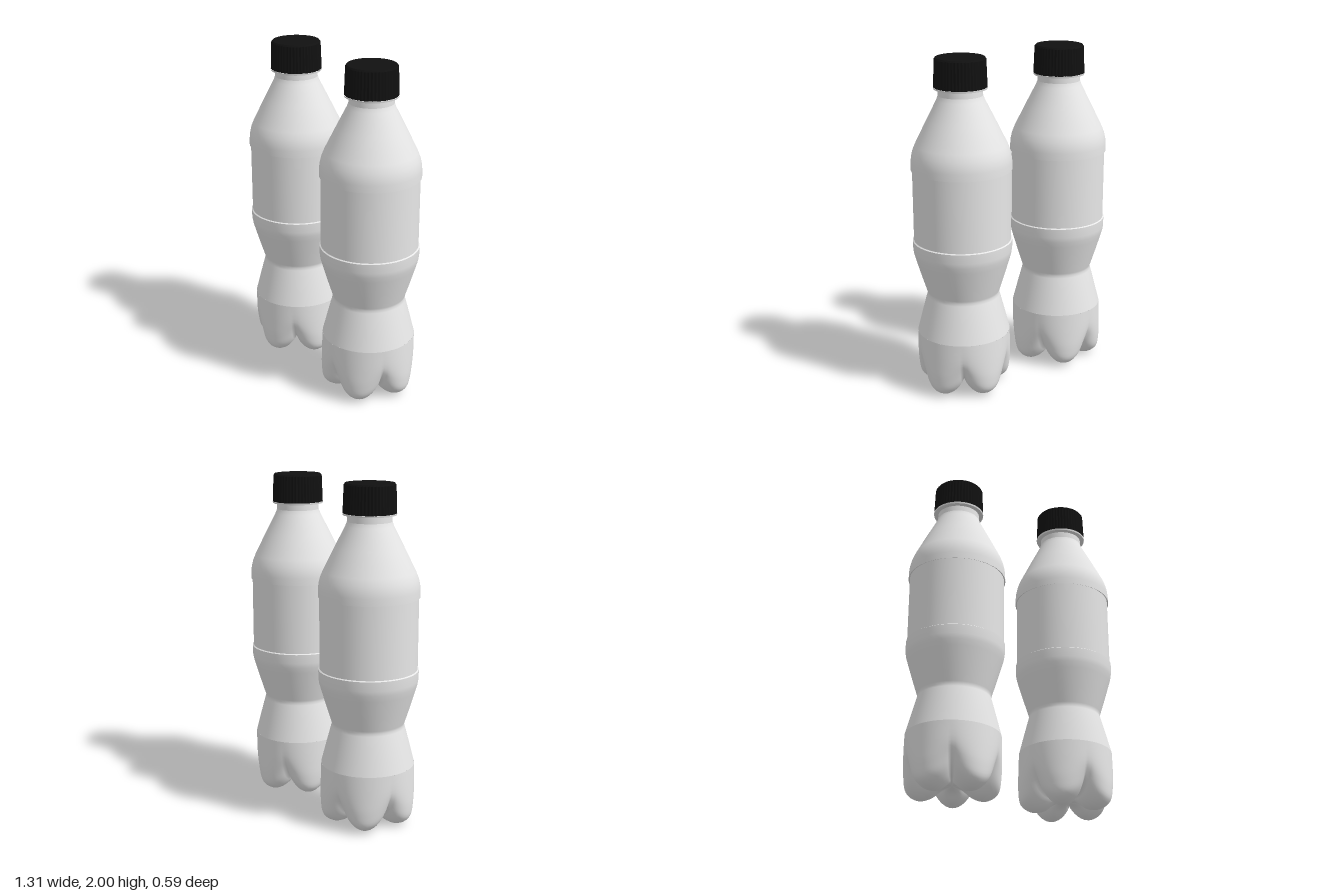
import * as THREE from 'three';

const SIDES = 48;
const white = new THREE.MeshStandardMaterial({ color: 0xe7e7e7, side: THREE.DoubleSide });
white.name = 'white plastic';
const black = new THREE.MeshStandardMaterial({ color: 0x111111 });
black.name = 'black cap';

const points = (list) => list.map(([r, y]) => new THREE.Vector2(r, y));

function named(name, geometry, material) {
  const mesh = new THREE.Mesh(geometry, material);
  mesh.name = name;
  return mesh;
}

const turned = (name, profile) => named(name, new THREE.LatheGeometry(points(profile), SIDES), white);

// Five-footed base: blends a foot profile and a groove profile around the axis
function baseGeometry() {
  const foot = new THREE.SplineCurve(points([
    [0, 0.07], [0.07, 0.055], [0.13, 0.012], [0.205, 0.004], [0.266, 0.045], [0.28, 0.12], [0.28, 0.22], [0.275, 0.36]]));
  const groove = new THREE.SplineCurve(points([
    [0, 0.07], [0.06, 0.075], [0.11, 0.085], [0.16, 0.1], [0.205, 0.135], [0.245, 0.19], [0.27, 0.25], [0.275, 0.36]]));
  const rows = 28, cols = 80, positions = [], index = [];
  for (let i = 0; i <= rows; i++) {
    const f = foot.getPoint(i / rows), g = groove.getPoint(i / rows);
    for (let j = 0; j < cols; j++) {
      const a = (j / cols) * Math.PI * 2;
      const p = g.clone().lerp(f, Math.pow(Math.abs(Math.sin(2.5 * a)), 0.8));
      const r = Math.max(p.x, 0);
      positions.push(r * Math.sin(a), Math.max(p.y, 0), r * Math.cos(a));
      if (i === rows) continue;
      const k = i * cols + j, n = i * cols + ((j + 1) % cols);
      if (i > 0) index.push(k, n, k + cols);
      index.push(n, n + cols, k + cols);
    }
  }
  const geometry = new THREE.BufferGeometry();
  geometry.setAttribute('position', new THREE.Float32BufferAttribute(positions, 3));
  geometry.setIndex(index);
  geometry.computeVertexNormals();
  return geometry;
}

// Cap side with fine grip ribs
function capGeometry() {
  const ribs = 48;
  const geometry = new THREE.CylinderGeometry(0.147, 0.153, 0.16, ribs * 2, 1, true);
  const pos = geometry.attributes.position;
  for (let i = 0; i < pos.count; i++) {
    const s = (i % (ribs * 2 + 1)) % 2 ? 0.975 : 1;
    pos.setX(i, pos.getX(i) * s);
    pos.setZ(i, pos.getZ(i) * s);
  }
  const flat = geometry.toNonIndexed();
  flat.computeVertexNormals();
  return flat;
}

function createBottle(name) {
  const bottle = new THREE.Group();
  bottle.name = name;
  bottle.add(
    named('base', baseGeometry(), white),
    // Pinched waist and the rounded belt above it
    turned('waist', [[0.275, 0.36], [0.244, 0.48], [0.216, 0.585], [0.211, 0.6], [0.216, 0.615],
      [0.246, 0.71], [0.276, 0.81], [0.286, 0.845], [0.291, 0.875], [0.292, 0.93]]),
    turned('lowerLedge', [[0.292, 0.93], [0.285, 0.935]]),
    turned('labelBand', [[0.285, 0.935], [0.285, 1.362]]),
    turned('upperLedge', [[0.285, 1.362], [0.293, 1.358]]),
    turned('shoulder', [[0.293, 1.358], [0.292, 1.4], [0.289, 1.43], [0.281, 1.465], [0.265, 1.505],
      [0.198, 1.64], [0.137, 1.76], [0.128, 1.785]]),
    // Neck and the ring below the cap
    turned('neck', [[0.128, 1.785], [0.127, 1.82]]),
    turned('neckRingUnderside', [[0.127, 1.82], [0.152, 1.822]]),
    turned('neckRing', [[0.152, 1.822], [0.154, 1.832]]),
    turned('neckRingTop', [[0.154, 1.832], [0.12, 1.834]]),
  );

  // Screw cap: ribbed side, chamfer and lid
  const side = named('capSide', capGeometry(), black);
  side.position.y = 1.912;
  const lid = named('capLid', new THREE.CylinderGeometry(0.14, 0.147, 0.01, SIDES), black);
  lid.position.y = 1.995;
  const rim = named('capRim', new THREE.CylinderGeometry(0.15, 0.15, 0.012, SIDES), black);
  rim.position.y = 1.839;
  const cap = new THREE.Group();
  cap.name = 'cap';
  cap.add(side, lid, rim);
  bottle.add(cap);
  return bottle;
}

export function createModel() {
  const model = new THREE.Group();
  model.name = 'bottlePair';
  const left = createBottle('leftBottle');
  left.position.x = 0.36;
  const right = createBottle('rightBottle');
  right.position.x = -0.36;
  right.rotation.y = THREE.MathUtils.degToRad(-24);
  model.add(left, right);
  return model;
}
